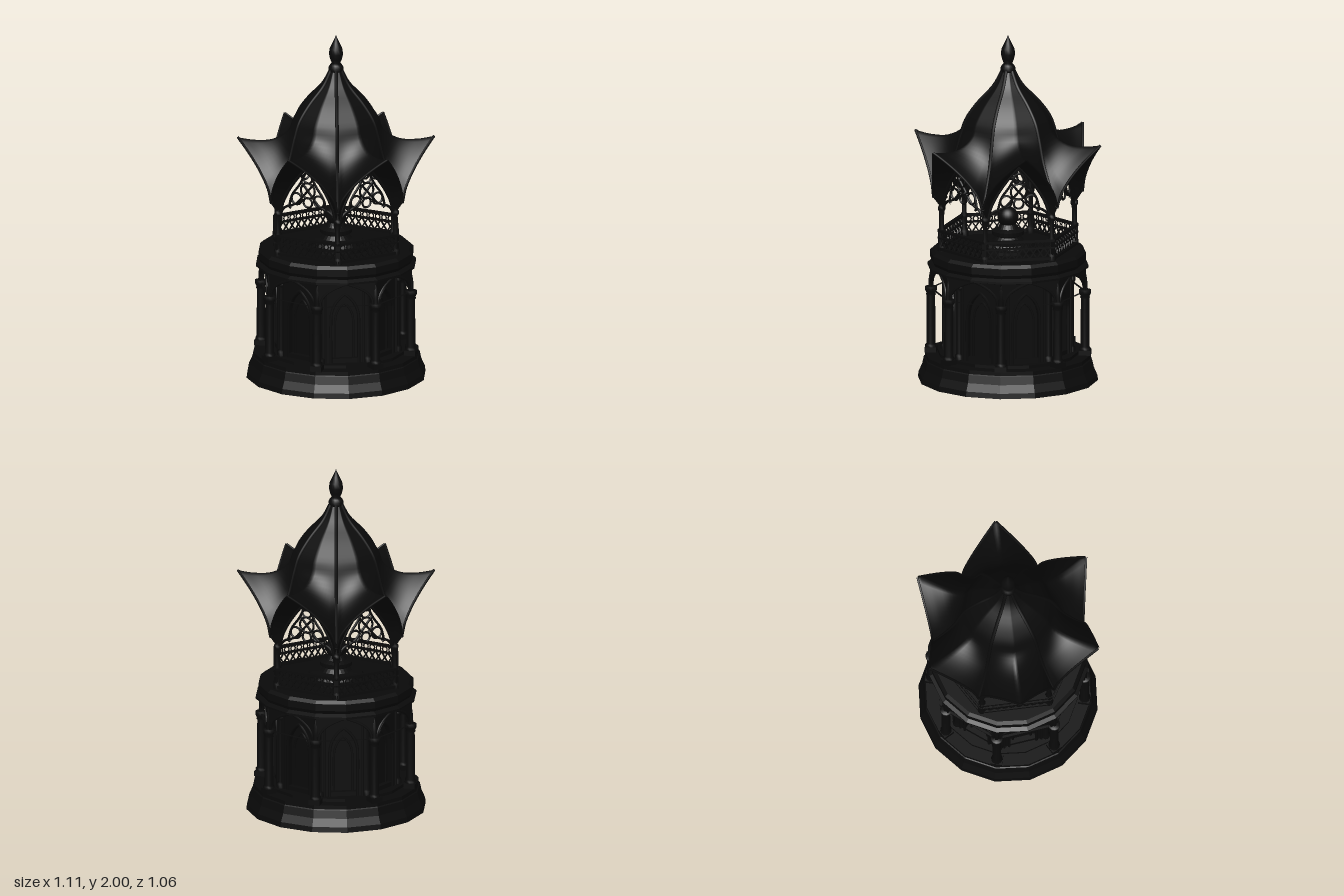
import * as THREE from 'three';

const V3 = (x, y, z) => new THREE.Vector3(x, y, z);
const V2 = (p) => new THREE.Vector2(p[0], p[1]);
const RAD = Math.PI / 180;
const COLUMN_ANGLE = 5.6; // first of the eight lower columns, degrees from +x towards +z
const POST_ANGLE = 20;    // first of the six upper posts

const color = 0x0a0a0a;
const smooth = new THREE.MeshStandardMaterial({ color });
const faceted = new THREE.MeshStandardMaterial({ color, flatShading: true });
const shell = new THREE.MeshStandardMaterial({ color, side: THREE.DoubleSide });

function add(parent, name, geometry, material = smooth, x = 0, y = 0, z = 0) {
  const mesh = new THREE.Mesh(geometry, material);
  mesh.name = name;
  mesh.position.set(x, y, z);
  parent.add(mesh);
  return mesh;
}

// group turned so that its local +z points outward at the given angle
function spoke(parent, name, degrees) {
  const g = new THREE.Group();
  g.name = name;
  g.rotation.y = Math.PI / 2 - degrees * RAD;
  parent.add(g);
  return g;
}

const lathe = (points, sides) => new THREE.LatheGeometry(points.map(V2), sides);
const tube = (points, r, n = 16, sides = 6) =>
  new THREE.TubeGeometry(new THREE.CatmullRomCurve3(points), n, r, sides);

// pointed arch outline, used both as hole and as moulding
function archInto(path, hw, y0, spring, apex) {
  const k = spring + (apex - spring) * 0.65;
  path.moveTo(-hw, y0);
  path.lineTo(-hw, spring);
  path.quadraticCurveTo(-hw, k, 0, apex);
  path.quadraticCurveTo(hw, k, hw, spring);
  path.lineTo(hw, y0);
  return path;
}

function archedPanel(hw, y0, y1, hole, depth) {
  const s = new THREE.Shape([[-hw, y0], [hw, y0], [hw, y1], [-hw, y1]].map(V2));
  const h = archInto(new THREE.Path(), ...hole);
  h.closePath();
  s.holes.push(h);
  return new THREE.ExtrudeGeometry(s, { depth, bevelEnabled: false, curveSegments: 8 });
}

function archMoulding(r, ...arch) {
  const pts = archInto(new THREE.Path(), ...arch).getPoints(8).map((p) => V3(p.x, p.y, 0));
  return tube(pts, r, 36, 5);
}

// surface through a grid of points given by at(i, j)
function gridSurface(nu, nv, at) {
  const pos = [], idx = [];
  for (let i = 0; i <= nu; i++) for (let j = 0; j <= nv; j++) pos.push(...at(i / nu, j / nv).toArray());
  for (let i = 0; i < nu; i++) for (let j = 0; j < nv; j++) {
    const a = i * (nv + 1) + j, b = a + nv + 1;
    idx.push(a, b, a + 1, b, b + 1, a + 1);
  }
  const g = new THREE.BufferGeometry();
  g.setAttribute('position', new THREE.Float32BufferAttribute(pos, 3));
  g.setIndex(idx);
  g.computeVertexNormals();
  return g;
}

// roof profiles as (radius, height): along a valley rib and along a pointed ridge
const curve2 = (pts) => new THREE.CatmullRomCurve3(pts.map(([r, y]) => V3(r, y, 0)));
const dome = [[0.03, 1.8], [0.08, 1.71], [0.175, 1.61], [0.24, 1.52]];
const valley = curve2([...dome, [0.272, 1.43], [0.31, 1.3], [0.37, 1.17], [0.43, 1.07]]);
const ridge = curve2([...dome, [0.272, 1.44], [0.36, 1.39], [0.46, 1.385], [0.556, 1.4]]);

// one roof bay: u runs from apex to rim, t from one valley over the ridge to the next
function roofPoint(u, t) {
  const v = valley.getPoint(u), r = ridge.getPoint(u), s = 1 - Math.abs(t);
  const y = THREE.MathUtils.lerp(v.y, r.y, Math.pow(s, 1 - 0.4 * u));
  const z = THREE.MathUtils.lerp(v.x * Math.cos(30 * RAD), r.x, s);
  return V3(v.x * 0.5 * t, y, z);
}
const innerArch = (t) => V3(0.18 * t, 1.0 + 0.31 * Math.pow(1 - Math.abs(t), 0.6), 0.333);
const samples = (n, f) => Array.from({ length: n + 1 }, (_, i) => f(i / n));

function buildBase(root) {
  const g = spoke(root, 'base', COLUMN_ANGLE);
  add(g, 'plinth', lathe([[0, 0], [0.512, 0], [0.508, 0.03], [0.488, 0.075], [0.478, 0.12],
    [0.472, 0.125], [0.472, 0.147], [0.4, 0.147], [0.4, 0.165], [0, 0.165]], 16), faceted);
  add(g, 'wallCore', lathe([[0.335, 0.15], [0.335, 0.66]], 8), faceted);
  add(g, 'cornice', lathe([[0, 0.65], [0.44, 0.65], [0.458, 0.655], [0.458, 0.667], [0.432, 0.68],
    [0.443, 0.7], [0.443, 0.74], [0.425, 0.757], [0, 0.757]], 16), faceted);
}

function buildLowerBay(root, i) {
  // column with corner pilaster
  const c = spoke(root, 'column' + i, COLUMN_ANGLE + i * 45);
  add(c, 'columnFoot', new THREE.BoxGeometry(0.066, 0.03, 0.066), smooth, 0, 0.16, 0.438);
  add(c, 'columnShaft', lathe([[0.032, 0.17], [0.033, 0.185], [0.026, 0.195], [0.024, 0.475], [0.029, 0.48],
    [0.025, 0.488], [0.034, 0.505], [0.034, 0.525], [0, 0.525]], 12), smooth, 0, 0, 0.438);
  add(c, 'pilaster', lathe([[0.026, 0.15], [0.026, 0.19], [0.016, 0.2], [0.016, 0.56], [0.026, 0.58],
    [0.026, 0.6], [0.016, 0.61], [0.016, 0.66]], 8), smooth, 0, 0, 0.358);
  add(c, 'columnBracket', tube([V3(0, 0.52, 0.44), V3(0, 0.58, 0.437), V3(0, 0.63, 0.425), V3(0, 0.66, 0.4)], 0.014));

  // wall with recessed niche, and arcade between columns
  const b = spoke(root, 'wallBay' + i, COLUMN_ANGLE + 22.5 + i * 45);
  add(b, 'nicheWall', archedPanel(0.14, 0.15, 0.66, [0.075, 0.19, 0.42, 0.56], 0.03), smooth, 0, 0, 0.312);
  add(b, 'nicheMoulding', archMoulding(0.009, 0.08, 0.165, 0.42, 0.57), smooth, 0, 0, 0.343);
  add(b, 'innerMoulding', archMoulding(0.007, 0.052, 0.165, 0.4, 0.51), smooth, 0, 0, 0.316);
  for (const s of [-1, 1]) {
    add(b, 'wallShaft', new THREE.CylinderGeometry(0.008, 0.008, 0.45, 6), smooth, s * 0.108, 0.385, 0.344);
  }
  add(b, 'arcade', archedPanel(0.165, 0.515, 0.66, [0.15, 0.516, 0.53, 0.648], 0.014), smooth, 0, 0, 0.398);
  add(b, 'arcadeMoulding', archMoulding(0.008, 0.15, 0.517, 0.53, 0.648), smooth, 0, 0, 0.412);
}

function buildUpperBay(root, i) {
  // post and valley rib
  const p = spoke(root, 'post' + i, POST_ANGLE + i * 60);
  add(p, 'canopyPost', lathe([[0.024, 0.757], [0.024, 0.79], [0.016, 0.8], [0.016, 0.87], [0.022, 0.88],
    [0.014, 0.895], [0.014, 0.985], [0.022, 1.0], [0.022, 1.015], [0.014, 1.025], [0.014, 1.12]], 8), smooth, 0, 0, 0.382);
  add(p, 'railPost', new THREE.BoxGeometry(0.026, 0.125, 0.026), smooth, 0, 0.82, 0.387);
  add(p, 'valleyRib', tube(samples(24, (u) => { const v = valley.getPoint(u); return V3(0, v.y, v.x); }), 0.01, 40));

  const b = spoke(root, 'canopyBay' + i, POST_ANGLE + 30 + i * 60);
  // railing with crossed lattice
  for (const [y, h] of [[0.772, 0.016], [0.835, 0.008], [0.876, 0.014]]) {
    add(b, 'rail', new THREE.BoxGeometry(0.4, h, 0.022), smooth, 0, y, 0.342);
  }
  for (let k = 0; k < 9; k++) {
    const x = (k - 4) * 0.041;
    for (const s of [-1, 1]) {
      add(b, 'lattice', new THREE.BoxGeometry(0.007, 0.07, 0.008), smooth, x, 0.805, 0.342).rotation.z = s * 0.6;
    }
    add(b, 'railRing', new THREE.TorusGeometry(0.015, 0.004, 4, 10), smooth, x, 0.853, 0.342);
  }
  // flared roof bay, its rim and the soffit down to the inner arch
  add(b, 'roofPanel', gridSurface(28, 20, (u, v) => roofPoint(u, v * 2 - 1)), shell);
  add(b, 'soffit', gridSurface(24, 4, (u, v) => roofPoint(1, u * 2 - 1).lerp(innerArch(u * 2 - 1), v)), shell);
  for (const s of [-1, 1]) {
    add(b, 'roofRim', tube(samples(12, (u) => roofPoint(1, s * (1 - u))), 0.007, 20));
    add(b, 'innerArch', tube(samples(12, (u) => innerArch(s * (1 - u))), 0.011, 20));
    // scalloped lower edge of the tracery
    add(b, 'traceryFoot', tube([V3(s * 0.178, 0.97, 0.333), V3(s * 0.165, 1.03, 0.333), V3(s * 0.125, 1.06, 0.333),
      V3(s * 0.105, 1.05, 0.333)], 0.008));
    add(b, 'traceryArch', tube([V3(s * 0.12, 1.06, 0.333), V3(s * 0.1, 1.13, 0.333), V3(s * 0.05, 1.2, 0.333),
      V3(0, 1.3, 0.333)], 0.007));
    add(b, 'traceryScroll', tube([V3(s * 0.12, 1.06, 0.333), V3(s * 0.07, 1.085, 0.333), V3(s * 0.03, 1.13, 0.333),
      V3(-s * 0.04, 1.21, 0.333)], 0.007));
  }
  for (const [x, y, r] of [[0, 1.165, 0.045], [-0.072, 1.11, 0.033], [0.072, 1.11, 0.033], [0, 1.24, 0.03], [0, 1.095, 0.028]]) {
    add(b, 'traceryRing', new THREE.TorusGeometry(r, 0.0065, 5, 20), smooth, x, y, 0.333);
  }
}

export function createModel() {
  const root = new THREE.Group();
  root.name = 'pavilion';
  buildBase(root);
  for (let i = 0; i < 8; i++) buildLowerBay(root, i);
  for (let i = 0; i < 6; i++) buildUpperBay(root, i);

  // sphere on a stepped pedestal in the middle of the deck
  add(root, 'pedestal', lathe([[0.2, 0.755], [0.2, 0.775], [0.16, 0.78], [0.15, 0.8], [0.09, 0.808], [0.07, 0.83],
    [0.09, 0.84], [0.092, 0.862], [0.06, 0.875], [0.045, 0.9], [0, 0.9]], 24), faceted);
  add(root, 'orb', new THREE.SphereGeometry(0.059, 24, 16), smooth, 0, 0.94, 0);

  add(root, 'finial', lathe([[0.03, 1.78], [0.041, 1.79], [0.043, 1.81], [0.034, 1.825], [0.024, 1.835], [0.034, 1.86],
    [0.041, 1.89], [0.036, 1.92], [0.02, 1.955], [0.008, 1.98], [0, 2]], 16));
  return root;
}
